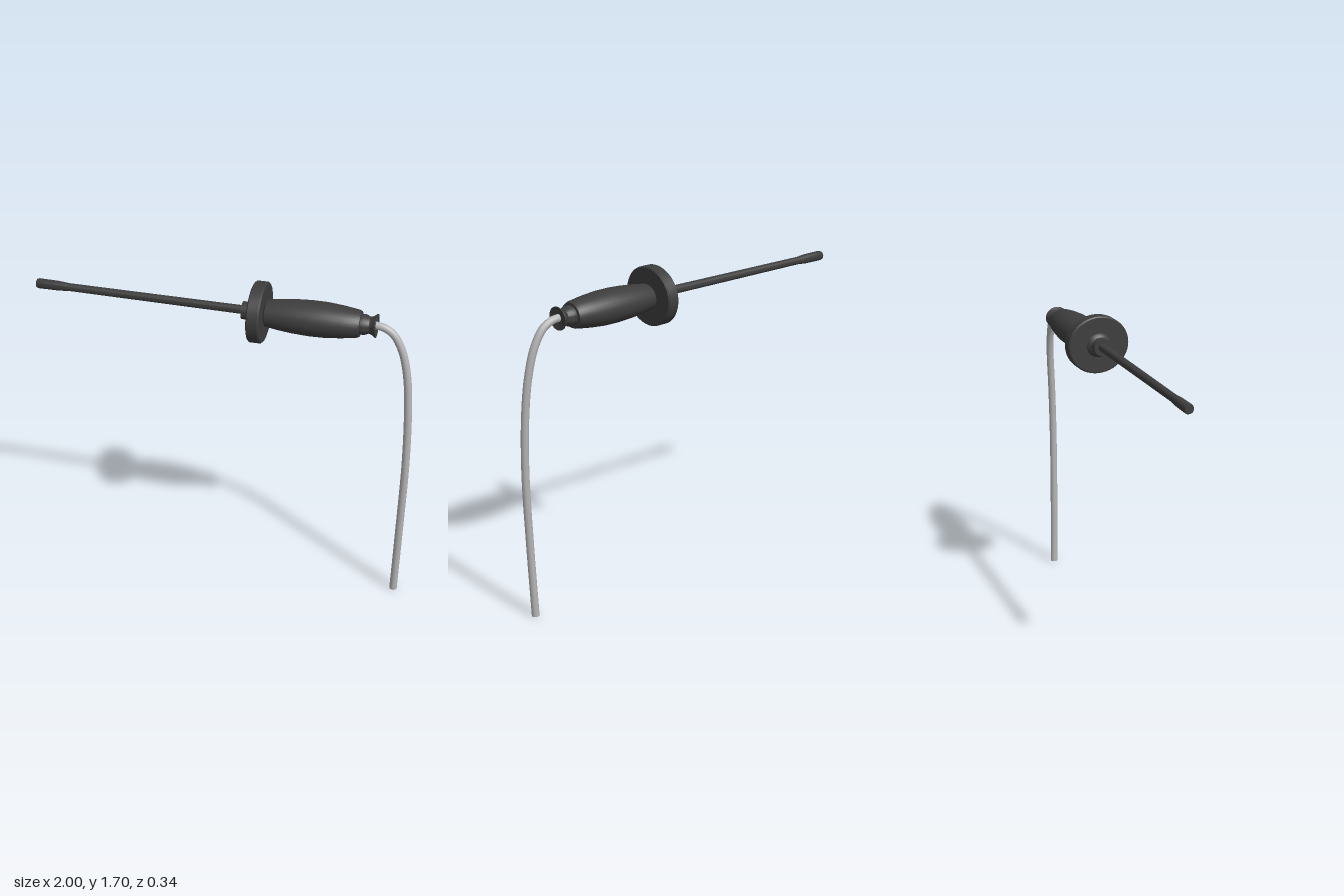
import * as THREE from 'three';
import { toCreasedNormals } from 'three/addons/utils/BufferGeometryUtils.js';

const dark = new THREE.MeshStandardMaterial({ color: 0x3d3d3d });
dark.name = 'dark rubber';
const grey = new THREE.MeshStandardMaterial({ color: 0xb4b4b4 });
grey.name = 'grey cable';

// Turned part along x from [x, radius] pairs; depth widens its section in z
function turned(name, profile, depth = 1, sides = 32) {
  const points = profile.map(([x, r]) => new THREE.Vector2(r, x));
  const lathe = new THREE.LatheGeometry(points, sides);
  lathe.rotateZ(-Math.PI / 2).scale(1, 1, depth);
  const mesh = new THREE.Mesh(toCreasedNormals(lathe, 0.6), dark);
  mesh.name = name;
  return mesh;
}

export function createModel() {
  const model = new THREE.Group();
  model.name = 'handTool';

  // Long rod with a slightly thicker blunt tip
  const rod = new THREE.Group();
  rod.name = 'rod';
  rod.add(
    turned('shaft', [[-0.86, 0.02], [0.11, 0.022]], 1.05, 16),
    turned('tip', [[-1, 0], [-1, 0.022], [-0.99, 0.026], [-0.88, 0.025], [-0.82, 0.02]], 1, 16)
  );
  rod.position.set(0, 1.55, -0.004);
  rod.rotation.y = 0.005;
  model.add(rod);

  // Grip assembly, angled a little to the rear; x is measured from the guard
  const grip = new THREE.Group();
  grip.name = 'grip';
  grip.add(
    turned('collar', [[-0.085, 0], [-0.085, 0.044], [-0.05, 0.046], [-0.044, 0.056], [-0.03, 0.064]], 1.08),
    turned('guard', [
      [-0.032, 0.05], [-0.032, 0.146], [-0.026, 0.152], [0.026, 0.152],
      [0.033, 0.146], [0.033, 0]
    ], 1.1, 48),
    turned('handle', [
      [0.03, 0.05], [0.04, 0.066], [0.1, 0.075], [0.18, 0.083], [0.26, 0.087],
      [0.34, 0.086], [0.42, 0.079], [0.5, 0.068], [0.514, 0.062], [0.518, 0]
    ], 1.16),
    turned('cableSleeve', [
      [0.51, 0.05], [0.535, 0.051], [0.56, 0.041], [0.575, 0.046],
      [0.59, 0.058], [0.595, 0.058], [0.588, 0.03], [0.588, 0]
    ], 1.1)
  );
  grip.position.set(0.187, 1.548, -0.006);
  grip.rotation.y = 0.028;
  model.add(grip);

  // Hanging cable
  const path = new THREE.CatmullRomCurve3([
    [0.76, 1.551, -0.022], [0.81, 1.546, -0.022], [0.865, 1.515, -0.02],
    [0.915, 1.43, -0.016], [0.95, 1.29, -0.008], [0.968, 1.1, 0.004],
    [0.976, 0.8, 0.012], [0.968, 0.4, 0.009], [0.957, 0, 0]
  ].map((p) => new THREE.Vector3(...p)));
  const radius = 0.02;
  const cable = new THREE.Mesh(new THREE.TubeGeometry(path, 72, radius, 14), grey);
  cable.name = 'cable';
  const end = new THREE.Mesh(new THREE.CircleGeometry(radius, 14), grey);
  end.name = 'cableEnd';
  end.position.copy(path.getPoint(1));
  end.rotation.x = Math.PI / 2;
  model.add(cable, end);

  return model;
}
